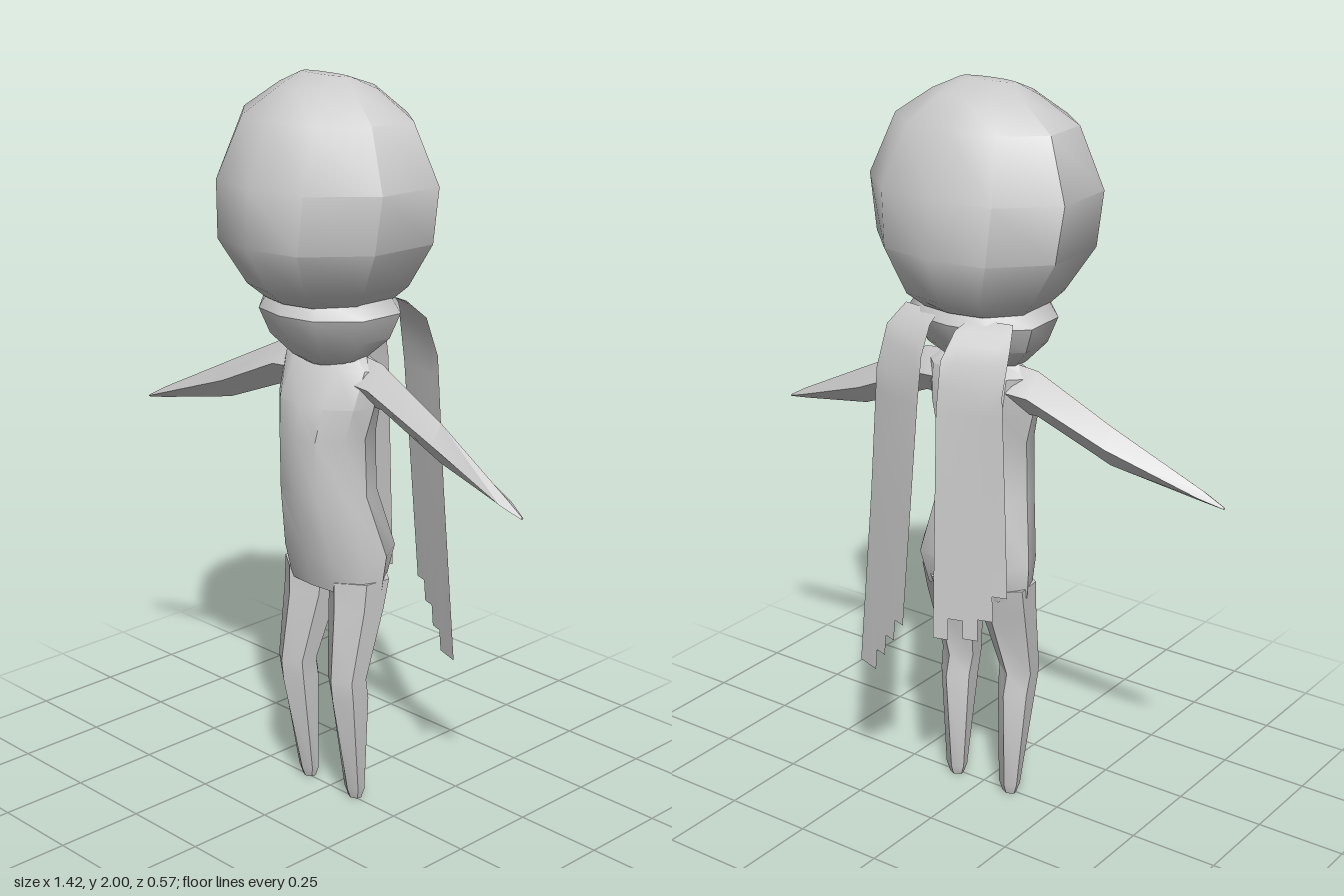
import * as THREE from 'three';
import { toCreasedNormals } from 'three/addons/utils/BufferGeometryUtils.js';

const material = new THREE.MeshStandardMaterial({ color: 0xcccccc });
const clothMaterial = new THREE.MeshStandardMaterial({ color: 0xcccccc, side: THREE.DoubleSide });

// Closed skin through rings of [x, y, z] points, wound to face outwards
function loft(rings, crease) {
  const n = rings[0].length;
  const pts = rings.flat();
  const index = [];
  for (let r = 0; r < rings.length - 1; r++) {
    for (let i = 0; i < n; i++) {
      const j = (i + 1) % n, a = r * n, b = a + n;
      index.push(a + i, a + j, b + j, a + i, b + j, b + i);
    }
  }
  // end caps as fans round each end ring's middle
  [0, rings.length - 1].forEach((r, k) => {
    const c = pts.length;
    pts.push([0, 1, 2].map(d => rings[r].reduce((s, p) => s + p[d], 0) / n));
    for (let i = 0; i < n; i++) {
      const p = r * n + i, q = r * n + (i + 1) % n;
      index.push(c, ...(k ? [p, q] : [q, p]));
    }
  });
  // flip the winding if the enclosed volume is negative
  const v = pts.map(p => new THREE.Vector3(...p));
  let volume = 0;
  for (let i = 0; i < index.length; i += 3) {
    volume += v[index[i]].dot(v[index[i + 1]].clone().cross(v[index[i + 2]]));
  }
  if (volume < 0) index.reverse();
  const g = new THREE.BufferGeometry();
  g.setAttribute('position', new THREE.Float32BufferAttribute(pts.flat(), 3));
  g.setIndex(index);
  return toCreasedNormals(g, crease);
}

// Half cross-sections from front to back, in units of half width and depth
const HEAD = [[0, 1], [0.53, 0.87], [0.97, 0.32], [1, -0.43], [0.56, -0.9], [0, -1]];
const TORSO = [[0, 1], [0.5, 0.92], [0.88, 0.42], [1, -0.1], [0.7, -0.8], [0, -1]];
const LEG = [[0, 1], [0.9, 0.45], [1, -0.35], [0, -1]];

// Horizontal ring: height, half width, front z, back z, centre x
function ring(half, [y, w, front, back, cx = 0]) {
  const full = [...half, ...half.slice(1, -1).reverse().map(([x, z]) => [-x, z])];
  const mid = (front + back) / 2, d = (front - back) / 2;
  return full.map(([x, z]) => [cx + x * w, y, mid + z * d]);
}

// Value at height y along a list of [y, x, z] rows running downwards
function along(edge, y) {
  let i = 0;
  while (i < edge.length - 2 && y < edge[i + 1][0]) i++;
  const [a, b] = [edge[i], edge[i + 1]];
  const t = (a[0] - y) / (a[0] - b[0]);
  return [a[1] + (b[1] - a[1]) * t, a[2] + (b[2] - a[2]) * t];
}

// Thin cloth strip between two edges; each column stops at its own height
function ribbon(inner, outer, ends) {
  const pos = [], index = [];
  ends.forEach((end, c) => {
    const ys = [1.42, 1.4, 1.37, 1.33, 1.26, 1.2, 0.9, end];
    const base = pos.length / 3;
    ys.forEach((y, r) => {
      const p = along(inner, y), q = along(outer, y);
      for (const u of [c / ends.length, (c + 1) / ends.length]) {
        pos.push(p[0] + (q[0] - p[0]) * u, y, p[1] + (q[1] - p[1]) * u);
      }
      if (r) {
        const k = base + r * 2;
        index.push(k - 2, k, k - 1, k - 1, k, k + 1);
      }
    });
  });
  const g = new THREE.BufferGeometry();
  g.setAttribute('position', new THREE.Float32BufferAttribute(pos, 3));
  g.setIndex(index);
  return toCreasedNormals(g, 0.7);
}

export function createModel() {
  const model = new THREE.Group();
  model.name = 'figure';
  const add = (name, geometry, mat = material) => {
    const mesh = new THREE.Mesh(geometry, mat);
    mesh.name = name;
    model.add(mesh);
  };

  // Large faceted head
  add('head', loft([
    [2.0, 0.08, 0.04, 0.0], [1.97, 0.14, 0.12, -0.09], [1.9, 0.24, 0.21, -0.16],
    [1.74, 0.303, 0.28, -0.23], [1.59, 0.28, 0.29, -0.24],
    [1.47, 0.205, 0.22, -0.2], [1.43, 0.165, 0.17, -0.15],
  ].map(r => ring(HEAD, r)), 0.75));

  // Bowl-shaped scarf wrap round the neck
  add('scarfWrap', loft([
    [1.45, 0.165, 0.15, -0.13], [1.4, 0.195, 0.18, -0.16], [1.33, 0.168, 0.15, -0.13],
    [1.27, 0.11, 0.09, -0.06], [1.25, 0.05, 0.06, 0.0],
  ].map(r => ring(HEAD, r)), 0.8));

  // Torso from shoulders to hips
  add('torso', loft([
    [1.28, 0.12, 0.03, -0.05], [1.25, 0.168, 0.06, -0.08], [1.15, 0.16, 0.115, -0.1],
    [1.06, 0.135, 0.13, -0.1], [0.9, 0.14, 0.125, -0.1],
    [0.73, 0.175, 0.095, -0.15], [0.63, 0.165, 0.07, -0.115],
  ].map(r => ring(TORSO, r)), 0.7));

  for (const [side, s] of [['left', 1], ['right', -1]]) {
    // Tapered leg with a slight knee
    add(side + 'Leg', loft([
      [0.66, 0.08, 0.07, -0.12, s * 0.087], [0.58, 0.076, 0.07, -0.095, s * 0.088],
      [0.38, 0.052, 0.092, -0.03, s * 0.098], [0.32, 0.048, 0.085, -0.046, s * 0.098],
      [0.03, 0.03, 0.022, -0.032, s * 0.092], [0, 0.02, 0.01, -0.022, s * 0.092],
    ].map(r => ring(LEG, r)), 0.5));

    // Four-sided arm: x, top, bottom, front z, back z
    add(side + 'Arm', loft([
      [0.11, 1.28, 1.15, 0.04, -0.07], [0.18, 1.272, 1.148, 0.042, -0.065],
      [0.4, 1.165, 1.06, 0.033, -0.035], [0.65, 1.04, 1.01, 0.055, 0.012],
      [0.71, 1.006, 1.0, 0.045, 0.035],
    ].map(([x, top, bottom, front, back]) => {
      const my = (top + bottom) / 2, mz = (front + back) / 2;
      return [[s * x, top, mz], [s * x, my, front], [s * x, bottom, mz], [s * x, my, back]];
    }), 0.4));
  }

  // Two hanging scarf ends with stepped hems; edge rows are y, x, z
  add('leftScarfEnd', ribbon(
    [[1.42, 0.05, -0.13], [1.4, 0.04, -0.18], [1.33, 0.03, -0.23], [1.2, 0.03, -0.25], [0.56, 0.07, -0.275]],
    [[1.42, 0.17, -0.11], [1.37, 0.195, -0.16], [1.26, 0.2, -0.2], [0.9, 0.22, -0.21], [0.4, 0.26, -0.22]],
    [0.58, 0.52, 0.46, 0.4, 0.4]), clothMaterial);
  add('rightScarfEnd', ribbon(
    [[1.42, -0.05, -0.13], [1.4, -0.04, -0.18], [1.33, -0.03, -0.23], [1.2, -0.03, -0.25], [0.58, -0.04, -0.285]],
    [[1.42, -0.17, -0.11], [1.37, -0.195, -0.16], [1.26, -0.2, -0.2], [0.9, -0.22, -0.21], [0.72, -0.232, -0.22]],
    [0.58, 0.64, 0.59, 0.65, 0.72]), clothMaterial);

  return model;
}
